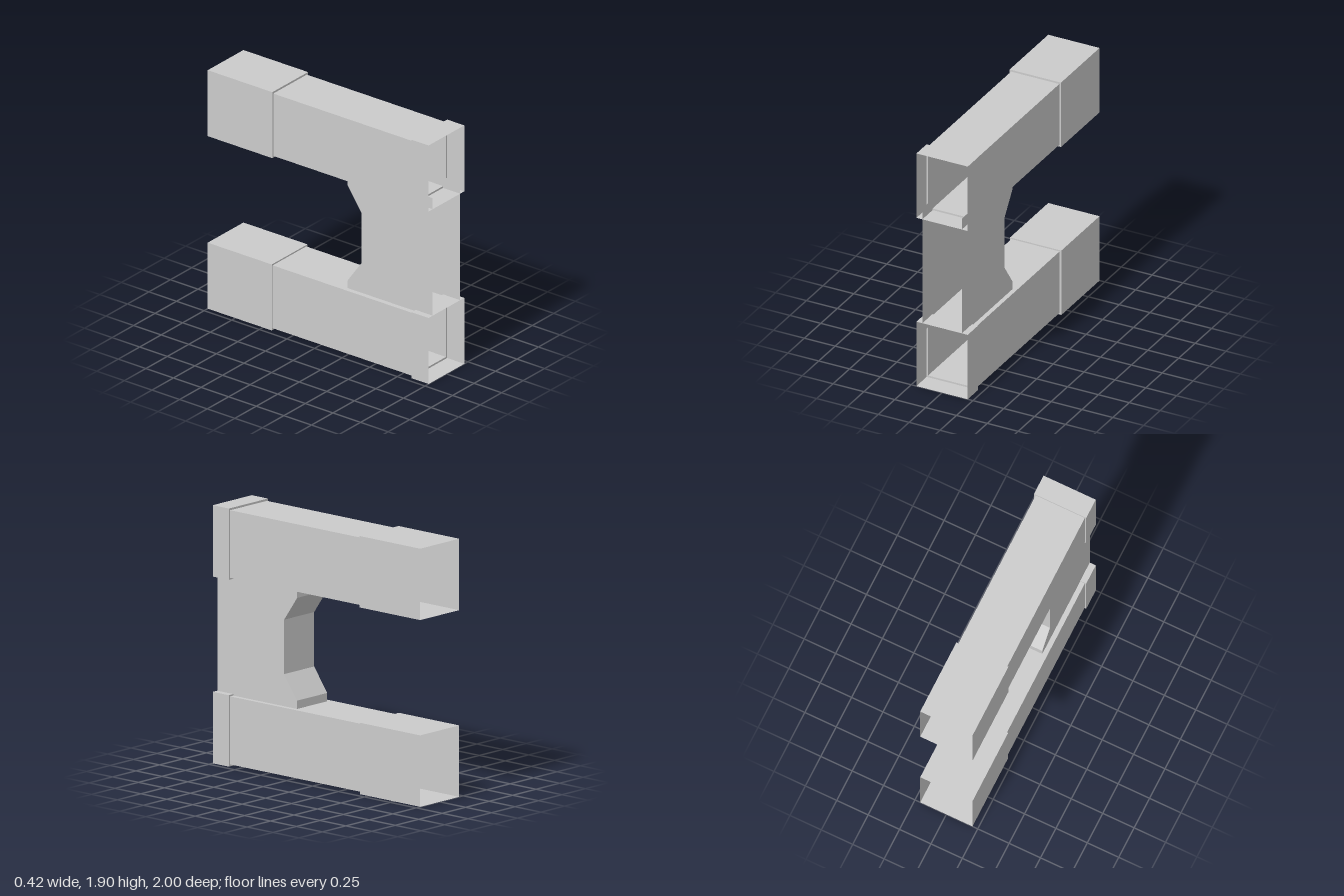
import * as THREE from 'three';

const material = new THREE.MeshStandardMaterial({
  color: 0xcccccc, flatShading: true, side: THREE.DoubleSide,
});

// Flat-shaded mesh from a list of quads, each with four [x, y, z] corners
function quadMesh(name, quads) {
  const pos = quads.flatMap(([a, b, c, d]) => [a, b, c, a, c, d].flat());
  const geo = new THREE.BufferGeometry();
  geo.setAttribute('position', new THREE.Float32BufferAttribute(pos, 3));
  geo.computeVertexNormals();
  const mesh = new THREE.Mesh(geo, material);
  mesh.name = name;
  return mesh;
}

// Rectangle of corners, anticlockwise seen from the front
const rect = ({ x0, x1, y0, y1 }, z) => [[x0, y0, z], [x1, y0, z], [x1, y1, z], [x0, y1, z]];

// Four-sided skin between two rectangles, open at both ends
const skin = (front, back) => front.map((p, i) => {
  const j = (i + 1) % 4;
  return [p, back[i], back[j], front[j]];
});

// Open square duct with a short collar in front and a long sleeve behind
function duct(name, sleeve, pipe, backStep) {
  const group = new THREE.Group();
  group.name = name;
  const frontStep = 0.845;
  group.add(
    quadMesh('frontCollar', [
      ...skin(rect(sleeve, 1), rect(sleeve, frontStep)),
      ...skin(rect(sleeve, frontStep), rect(pipe, frontStep)),
    ]),
    quadMesh('pipe', skin(rect(pipe, frontStep), rect(pipe, backStep))),
    quadMesh('rearSleeve', [
      ...skin(rect(pipe, backStep), rect(sleeve, backStep)),
      ...skin(rect(sleeve, backStep), rect(sleeve, -1)),
    ]),
  );
  return group;
}

// Connecting bracket: two side plates and a notched rear wall, open elsewhere
function bracket() {
  const group = new THREE.Group();
  group.name = 'bracket';
  const w = 0.16;
  const rear = [[0.23, 0.45], [0.23, 0.575], [0.355, 0.75], [0.355, 1.15], [0.23, 1.33], [0.23, 1.46]];
  const outline = [[1, 0.45], ...rear, [1, 1.46]];

  const shape = new THREE.Shape(outline.map(([z, y]) => new THREE.Vector2(-z, y)));
  for (const [side, name] of [[1, 'leftPlate'], [-1, 'rightPlate']]) {
    const geo = new THREE.ShapeGeometry(shape);
    geo.rotateY(Math.PI / 2);
    geo.translate(side * w, 0, 0);
    const plate = new THREE.Mesh(geo, material);
    plate.name = name;
    group.add(plate);
  }

  group.add(quadMesh('rearWall', rear.slice(1).map(([z, y], i) => {
    const [pz, py] = rear[i];
    return [[w, py, pz], [-w, py, pz], [-w, y, z], [w, y, z]];
  })));
  return group;
}

export function createModel() {
  const model = new THREE.Group();
  model.name = 'doubleDuct';
  const sleeveX = { x0: -0.208, x1: 0.208 };
  const pipeX = { x0: -0.197, x1: 0.194 };
  model.add(
    duct('lowerDuct', { ...sleeveX, y0: 0, y1: 0.525 }, { ...pipeX, y0: 0.014, y1: 0.514 }, -0.42),
    duct('upperDuct', { ...sleeveX, y0: 1.372, y1: 1.897 }, { ...pipeX, y0: 1.386, y1: 1.882 }, -0.415),
    bracket(),
  );
  return model;
}
